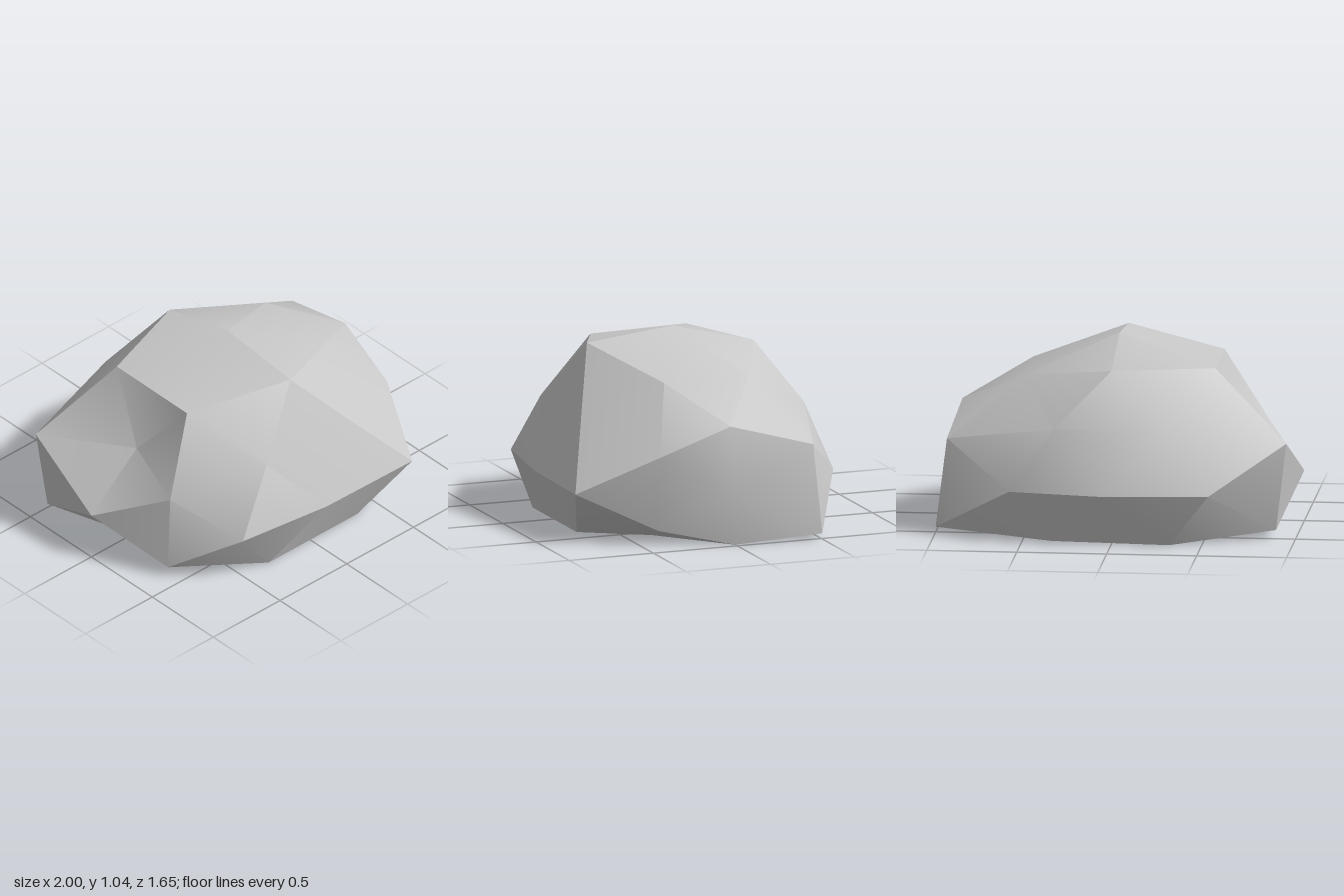
import * as THREE from 'three';
import { toCreasedNormals } from 'three/addons/utils/BufferGeometryUtils.js';

const MID = 0.285; // height of the widest girth

// Boulder corners, from the crown down to the base rim
const corners = [
  // crown ridge and shoulders
  [0.025, 1.045, 0], [0.025, 0.99, 0.51], [0.025, 0.925, -0.48],
  [-0.53, 0.905, 0.27], [-0.535, 0.915, -0.3], [0.53, 0.845, 0.25], [0.53, 0.845, -0.25],
  // upper flanks
  [0.9, 0.655, 0], [-0.66, 0.58, 0],
  [0.85, 0.5, 0.4], [0.94, 0.525, -0.475], [-0.765, 0.49, 0.39], [-0.95, 0.54, -0.51],
  [0.33, 0.64, 0.665], [-0.29, 0.64, 0.66], [0.33, 0.625, -0.66], [-0.29, 0.625, -0.66],
  // girth
  [0.99, MID, 0], [-1, MID, 0], [0.02, MID, 0.815], [0.02, MID, -0.83],
  [0.65, MID, 0.825], [-0.54, MID, 0.74], [0.57, MID, -0.74], [-0.54, MID, -0.77],
  // base rim
  [0.82, 0.08, 0.4], [1, 0.03, -0.505], [-0.81, 0.065, 0.42], [-0.89, 0.045, -0.48],
  [0.35, 0, 0.7], [-0.31, 0, 0.7], [0.34, 0, -0.68], [-0.32, 0, -0.73],
  [0.97, 0, 0], [-0.69, 0, 0],
].map((p) => {
  const point = new THREE.Vector3(...p);
  return { point, dir: new THREE.Vector3(p[0], p[1] - MID, p[2]).normalize() };
});

// Move a sphere vertex to the corner lying in its direction; flatten the underside
function shape(v) {
  if (v.y < -0.6) return v.set(v.x * 0.95 + 0.1, 0, v.z * 1.1);
  let best = corners[0];
  for (const c of corners) if (c.dir.dot(v) > best.dir.dot(v)) best = c;
  return v.copy(best.point);
}

export function createModel() {
  const group = new THREE.Group();
  group.name = 'boulder';

  const stone = new THREE.MeshStandardMaterial({ color: 0xc8c8c8 });
  stone.name = 'light grey stone';

  // Once-subdivided icosahedron, turned so its top edge runs front to back
  const geometry = new THREE.IcosahedronGeometry(1, 1).rotateY(Math.PI / 2);
  const position = geometry.attributes.position;
  const v = new THREE.Vector3();
  for (let i = 0; i < position.count; i++) {
    shape(v.fromBufferAttribute(position, i));
    position.setXYZ(i, v.x, v.y, v.z);
  }

  // Soft facets with sharp main ridges
  const rock = new THREE.Mesh(toCreasedNormals(geometry, 0.51), stone);
  rock.name = 'rock';
  group.add(rock);
  return group;
}
